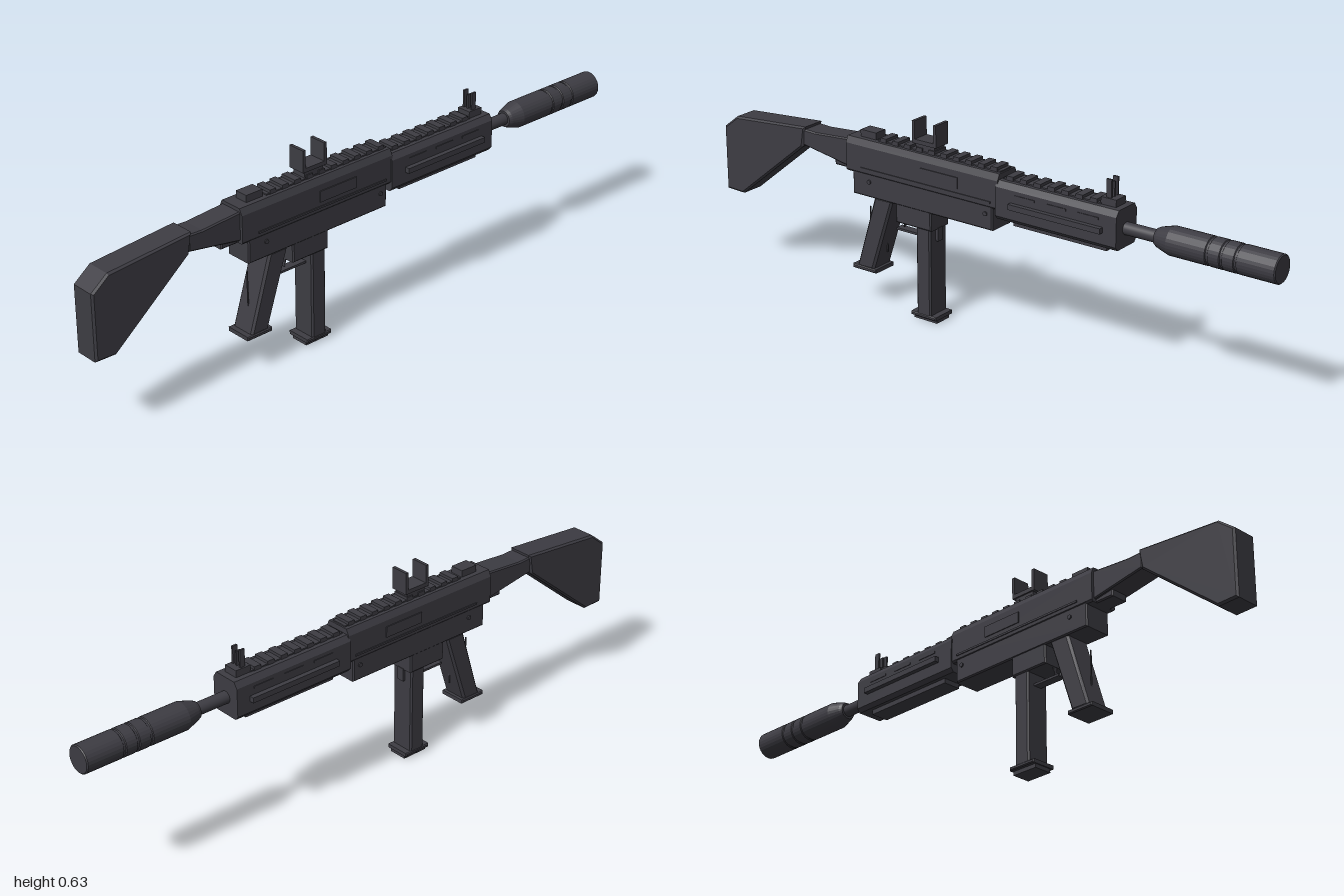
import * as THREE from 'three';

export function createModel() {
  const model = new THREE.Group();
  const gunmetal = new THREE.MeshStandardMaterial({ color: 0x3d3c43 });
  gunmetal.name = 'gunmetal';
  gunmetal.flatShading = true;
  const smoothMetal = gunmetal.clone();
  smoothMetal.flatShading = false;

  const add = (name, geo, material = gunmetal) => {
    const mesh = new THREE.Mesh(geo, material);
    mesh.name = name;
    model.add(mesh);
    return mesh;
  };
  // Box given by its extents
  const box = (name, x0, x1, y0, y1, z0, z1) => add(name,
    new THREE.BoxGeometry(x1 - x0, y1 - y0, z1 - z0)
      .translate((x0 + x1) / 2, (y0 + y1) / 2, (z0 + z1) / 2));
  // Side outline of [z, y] points extruded across x with bevelled edges
  const slab = (name, half, points, bevel = 0.004) => {
    const shape = new THREE.Shape(points.map(([z, y]) => new THREE.Vector2(z, y)));
    const geo = new THREE.ExtrudeGeometry(shape, {
      depth: 2 * (half - bevel), bevelEnabled: true, bevelSegments: 1,
      bevelSize: bevel, bevelThickness: bevel, bevelOffset: -bevel,
    });
    return add(name, geo.translate(0, 0, bevel - half).rotateY(-Math.PI / 2));
  };
  // Cross-section of [x, y] points (right half, bottom to top), run along z
  const run = (name, half, z0, z1) => {
    const pts = [...half, ...half.map(([x, y]) => [-x, y]).reverse()];
    const shape = new THREE.Shape(pts.map(([x, y]) => new THREE.Vector2(x, y)));
    return add(name, new THREE.ExtrudeGeometry(shape, { depth: z1 - z0, bevelEnabled: false })
      .translate(0, 0, z0));
  };

  // Shoulder stock
  slab('stock', 0.043, [[1, 0.255], [1, 0.465], [0.945, 0.508], [0.66, 0.53],
    [0.67, 0.465], [0.93, 0.253]], 0.006);
  slab('stockNeck', 0.039, [[0.67, 0.47], [0.67, 0.522], [0.62, 0.52], [0.48, 0.53], [0.46, 0.435]]);
  slab('neckBlock', 0.03, [[0.55, 0.43], [0.55, 0.456], [0.45, 0.456], [0.45, 0.43]]);

  // Receiver
  run('upperReceiver', [[0.043, 0.43], [0.048, 0.436], [0.048, 0.52], [0.038, 0.54]], -0.085, 0.488);
  slab('lowerReceiver', 0.046, [[0.465, 0.36], [0.465, 0.45], [-0.065, 0.45], [-0.065, 0.36]]);
  slab('magazineWell', 0.044, [[0.3, 0.302], [0.3, 0.37], [0.165, 0.37], [0.165, 0.302]]);
  for (const s of [-1, 1]) {
    const inner = s * 0.046, outer = s * 0.051;
    const [a, b] = [Math.min(inner, outer), Math.max(inner, outer)];
    box('receiverSeam', a, b, 0.446, 0.452, -0.06, 0.43);
    box('portCover', a, b, 0.465, 0.5, 0.06, 0.2);
    for (const z of [-0.04, 0.4]) {
      add('receiverPin', new THREE.CylinderGeometry(0.007, 0.007, 0.006, 10)
        .rotateZ(Math.PI / 2).translate(s * 0.047, 0.41, z));
    }
  }

  // Handguard with side and lower rails
  run('handguard', [[0.042, 0.403], [0.052, 0.415], [0.052, 0.505], [0.04, 0.523]], -0.5, -0.08);
  box('lowerRail', -0.03, 0.03, 0.388, 0.41, -0.455, -0.13);
  for (const s of [-1, 1]) {
    box('sideRail', s > 0 ? 0.045 : -0.067, s > 0 ? 0.067 : -0.045, 0.45, 0.467, -0.455, -0.135);
    for (let i = 0; i < 3; i++) {
      box('handguardRib', s > 0 ? 0.05 : -0.054, s > 0 ? 0.054 : -0.05, 0.486, 0.493,
        -0.44 + i * 0.11, -0.37 + i * 0.11);
    }
  }

  // Toothed top rails
  const topRail = (y, z0, z1, count) => {
    box('topRail', -0.026, 0.026, y - 0.01, y + 0.004, z0, z1);
    const step = (z1 - z0) / count;
    for (let i = 0; i < count; i++) {
      const z = z0 + (i + 0.25) * step;
      box('railTooth', -0.028, 0.028, y, y + 0.013, z, z + step * 0.5);
    }
  };
  topRail(0.54, -0.08, 0.38, 10);
  topRail(0.523, -0.43, -0.09, 7);

  // Sights
  box('rearSight', -0.022, 0.022, 0.535, 0.562, 0.39, 0.45);
  box('opticMount', -0.024, 0.024, 0.54, 0.566, 0.165, 0.235);
  box('opticBase', -0.029, 0.029, 0.564, 0.577, 0.155, 0.245);
  box('opticRearPlate', -0.029, 0.029, 0.572, 0.634, 0.235, 0.245);
  box('opticFrontPlate', -0.029, 0.029, 0.572, 0.634, 0.155, 0.165);
  box('frontSightBase', -0.024, 0.024, 0.518, 0.545, -0.48, -0.428);
  for (const x of [-0.016, 0, 0.016]) {
    box('frontSightPost', x - 0.003, x + 0.003, 0.54, x ? 0.6 : 0.59, -0.46, -0.443);
  }

  // Pistol grip
  slab('grip', 0.042, [[0.46, 0.12], [0.385, 0.365], [0.315, 0.365], [0.395, 0.12]], 0.007);
  slab('gripBase', 0.045, [[0.475, 0.112], [0.475, 0.125], [0.383, 0.125], [0.383, 0.112]], 0.003);
  box('gripBackLine', -0.002, 0.002, 0.18, 0.31, 0.434, 0.437);

  // Trigger and guard
  box('triggerGuard', -0.014, 0.014, 0.264, 0.271, 0.22, 0.322);
  box('trigger', -0.003, 0.003, 0.175, 0.36, 0.367, 0.37);
  slab('triggerBlade', 0.006, [[0.3, 0.275], [0.296, 0.33], [0.275, 0.37], [0.262, 0.37], [0.283, 0.33]], 0.001);

  // Magazine
  slab('magazine', 0.04, [[0.226, 0.018], [0.226, 0.31], [0.172, 0.31], [0.172, 0.018]], 0.005);
  slab('magazineFlange', 0.042, [[0.247, 0.012], [0.247, 0.024], [0.152, 0.024], [0.152, 0.012]], 0.003);
  box('magazineFloor', -0.03, 0.03, 0, 0.014, 0.156, 0.243);
  box('magazineCatch', -0.012, 0.012, 0.262, 0.305, 0.163, 0.175);

  // Barrel and suppressor, turned on one axis
  const turned = (name, points, material) => add(name,
    new THREE.LatheGeometry(points.map(([r, z]) => new THREE.Vector2(r, z)), 28)
      .rotateX(-Math.PI / 2).translate(0, 0.459, 0), material);
  turned('barrel', [[0.019, 0.48], [0.019, 0.62]], smoothMetal);
  turned('suppressorCollar', [[0, 0.605], [0.026, 0.605], [0.031, 0.615], [0.043, 0.655]]);
  const tube = [[0.043, 0.655]];
  for (const z of [0.78, 0.825, 0.87]) {
    tube.push([0.043, z], [0.04, z + 0.002], [0.04, z + 0.008], [0.043, z + 0.01]);
  }
  tube.push([0.043, 0.997], [0.04, 1], [0, 1]);
  turned('suppressor', tube);

  return model;
}
